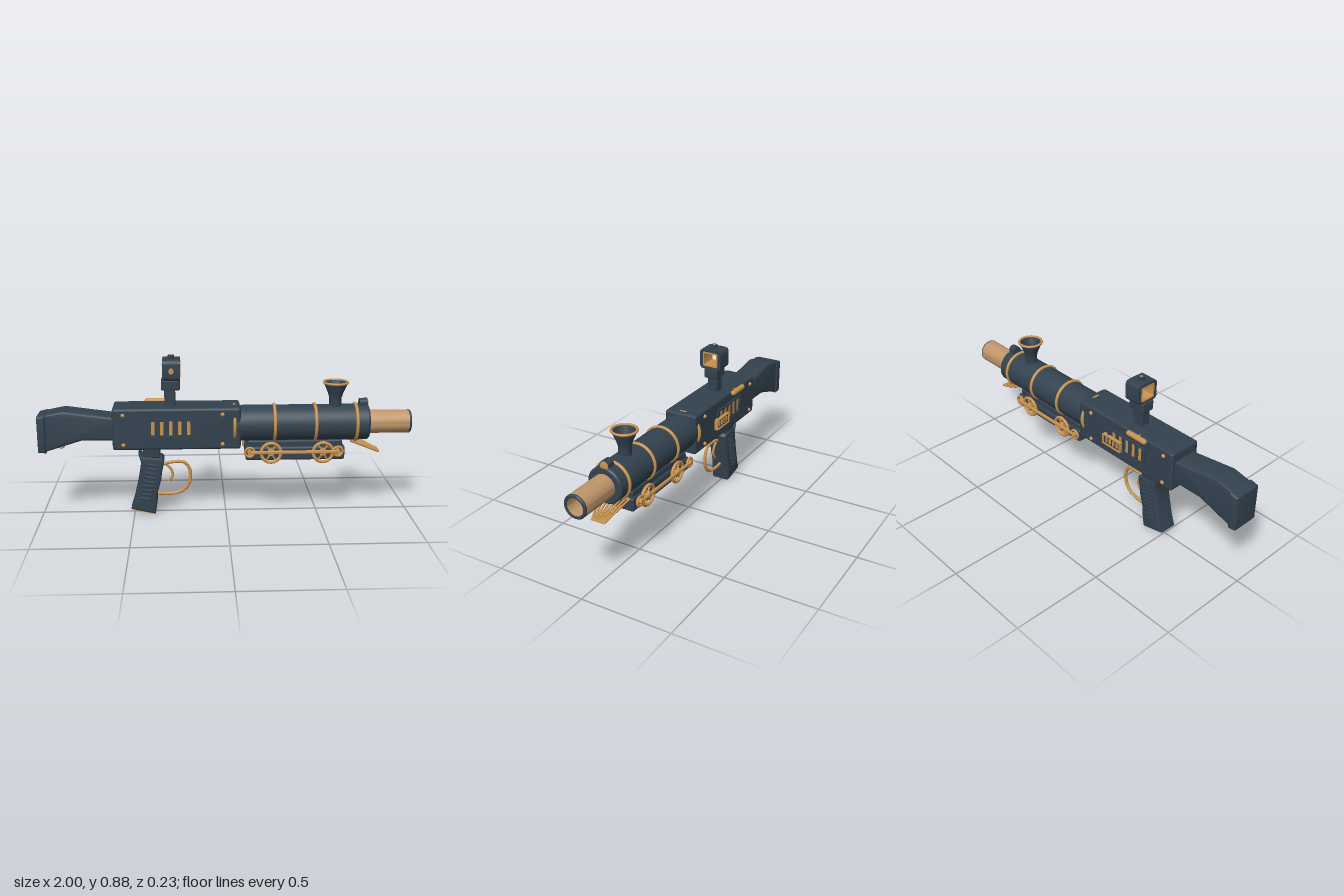
import * as THREE from 'three';
import { toCreasedNormals } from 'three/addons/utils/BufferGeometryUtils.js';
import { RoundedBoxGeometry } from 'three/addons/geometries/RoundedBoxGeometry.js';

export function createModel() {
  const mat = (name, color) => {
    const m = new THREE.MeshStandardMaterial({ color });
    m.name = name;
    return m;
  };
  const steel = mat('blueSteel', 0x33424f);
  const brass = mat('brass', 0xc8924f);
  const copper = mat('barrelCopper', 0xc0966a);

  const root = new THREE.Group();
  root.name = 'steamRifle';
  const gun = new THREE.Group();
  gun.name = 'gun';
  gun.position.z = 0.006;
  root.add(gun);

  const add = (name, geo, m, x = 0, y = 0, z = 0, rz = 0) => {
    const mesh = new THREE.Mesh(geo, m);
    mesh.name = name;
    mesh.position.set(x, y, z);
    mesh.rotation.z = rz;
    gun.add(mesh);
    return mesh;
  };
  const box = (w, h, d) => new THREE.BoxGeometry(w, h, d);
  const round = (w, h, d, r) => new RoundedBoxGeometry(w, h, d, 2, r);
  const v2 = (pts) => pts.map(([a, b]) => new THREE.Vector2(a, b));
  const lathe = (pts, seg = 40) => toCreasedNormals(new THREE.LatheGeometry(v2(pts), seg), 0.6);
  const latheX = (pts, seg) => lathe(pts, seg).rotateZ(-Math.PI / 2);
  const cylZ = (r, h, seg = 20) => new THREE.CylinderGeometry(r, r, h, seg).rotateX(Math.PI / 2);
  const ringX = (R, r) => new THREE.TorusGeometry(R, r, 10, 40).rotateY(Math.PI / 2);
  const tube = (pts, r, seg = 40) => new THREE.TubeGeometry(
    new THREE.CatmullRomCurve3(pts.map((p) => new THREE.Vector3(p[0], p[1], p[2] || 0))), seg, r, 8);
  // side outline extruded across z with rounded edges, half = half width
  const slab = (pts, half, bevel = 0.012) => {
    const g = new THREE.ExtrudeGeometry(new THREE.Shape(v2(pts)), {
      depth: 2 * (half - bevel), bevelThickness: bevel, bevelSize: bevel, bevelOffset: -bevel, bevelSegments: 3,
    });
    return toCreasedNormals(g.translate(0, 0, bevel - half), 0.6);
  };
  const roundRect = (S, w, h, r) => {
    const s = new S(), a = w / 2, b = h / 2;
    s.moveTo(-a + r, -b).lineTo(a - r, -b).quadraticCurveTo(a, -b, a, -b + r);
    s.lineTo(a, b - r).quadraticCurveTo(a, b, a - r, b);
    s.lineTo(-a + r, b).quadraticCurveTo(-a, b, -a, b - r);
    s.lineTo(-a, -b + r).quadraticCurveTo(-a, -b, -a + r, -b);
    return s;
  };
  // rectangular frame open along x
  const frameX = (w, h, r, wall, len) => {
    const s = roundRect(THREE.Shape, w, h, r);
    s.holes.push(roundRect(THREE.Path, w - 2 * wall, h - 2 * wall, Math.max(r - wall, 0.006)));
    const g = new THREE.ExtrudeGeometry(s, { depth: len, bevelEnabled: false, curveSegments: 5 });
    return toCreasedNormals(g.translate(0, 0, -len / 2).rotateY(Math.PI / 2), 0.6);
  };

  // Stock with butt pad and sling ring
  add('stock', slab([[-0.58, 0.433], [-0.58, 0.56], [-0.61, 0.56], [-0.86, 0.595], [-0.97, 0.573],
    [-0.97, 0.373], [-0.94, 0.38], [-0.77, 0.433]], 0.07), steel);
  add('buttPad', slab([[-1, 0.372], [-0.957, 0.368], [-0.953, 0.577], [-1, 0.566]], 0.08), steel);
  add('slingRing', new THREE.TorusGeometry(0.017, 0.005, 8, 20), brass, -0.888, 0.393);

  // Receiver
  add('receiver', round(0.68, 0.226, 0.187, 0.014), steel, -0.263, 0.498);
  for (const s of [-1, 1]) {
    for (const x of [-0.545, -0.02]) for (const y of [0.415, 0.577])
      add('rivet', new THREE.SphereGeometry(0.011, 14, 8), brass, x, y, s * 0.094);
    for (const [y, h] of [[0.552, 0.01], [0.458, 0.01]])
      add('ventFrameRail', box(0.27, h, 0.014), steel, -0.29, y, s * 0.096);
    for (const x of [-0.42, -0.16]) add('ventFrameEnd', box(0.01, 0.1, 0.014), steel, x, 0.505, s * 0.096);
    add('ventPanel', box(0.262, 0.094, 0.008), steel, -0.29, 0.505, s * 0.094);
    for (let i = 0; i < 5; i++)
      add('ventSlat', box(0.018, 0.074, 0.008), brass, -0.388 + i * 0.047, 0.506, s * 0.096);
  }
  // Bolt handle and counter on the right side
  add('boltHandle', new THREE.CapsuleGeometry(0.015, 0.105, 4, 12).rotateZ(Math.PI / 2), brass, -0.37, 0.606, -0.108);
  add('boltStem', cylZ(0.008, 0.03), brass, -0.37, 0.603, -0.092);
  add('counterPlate', box(0.125, 0.055, 0.016), steel, -0.195, 0.483, -0.102);
  for (const s of [-1, 1]) {
    add('counterRail', box(0.13, 0.006, 0.022), brass, -0.195, 0.483 + s * 0.027, -0.106);
    add('counterEnd', box(0.006, 0.055, 0.022), brass, -0.195 + s * 0.062, 0.483, -0.106);
  }
  for (let i = 0; i < 4; i++) add('counterMark', box(0.012, 0.028, 0.006), brass, -0.234 + i * 0.026, 0.483, -0.111);

  // Grip with ridges and base plate
  add('gripNeck', round(0.09, 0.08, 0.1, 0.01), steel, -0.4, 0.365);
  add('grip', slab([[-0.472, 0.352], [-0.45, 0.335], [-0.345, 0.325], [-0.333, 0.31], [-0.345, 0.25], [-0.352, 0.2],
    [-0.372, 0.13], [-0.375, 0.07], [-0.385, 0.006], [-0.518, 0.036], [-0.5, 0.09], [-0.475, 0.2], [-0.458, 0.3]], 0.055), steel);
  add('gripBase', box(0.112, 0.008, 0.085), brass, -0.452, 0.02, 0, -0.22);
  for (const s of [-1, 1]) for (let i = 0; i < 9; i++)
    add('gripRidge', round(0.058, 0.011, 0.012, 0.004), steel, -0.395 - i * 0.0055, 0.29 - i * 0.024, s * 0.055, -0.2);

  // Trigger and guard
  add('triggerGuard', tube([[-0.345, 0.275], [-0.3, 0.288], [-0.225, 0.285], [-0.197, 0.245], [-0.2, 0.17],
    [-0.24, 0.122], [-0.31, 0.106], [-0.385, 0.11]], 0.009, 60), brass);
  add('trigger', tube([[-0.33, 0.28], [-0.3, 0.25], [-0.29, 0.215], [-0.31, 0.178]], 0.007), brass);

  // Boiler, hoops and hollow muzzle
  add('boiler', latheX([[0, 0.05], [0.097, 0.05], [0.097, 0.762], [0.09, 0.77], [0, 0.77]], 48), steel, 0, 0.505);
  for (const [x, R] of [[0.045, 0.1], [0.26, 0.098], [0.48, 0.098], [0.7, 0.098]])
    add('boilerHoop', ringX(R, 0.009), brass, x, 0.505);
  add('muzzle', latheX([[0.063, 0.76], [0.063, 0.988]]), copper, 0, 0.505);
  add('muzzleRim', latheX([[0.063, 0.988], [0.063, 0.994], [0.058, 1], [0.049, 1], [0.047, 0.994]]), steel, 0, 0.505);
  add('muzzleBore', latheX([[0.047, 0.994], [0.047, 0.8]]), copper, 0, 0.505);
  add('borePlug', latheX([[0.047, 0.8], [0, 0.8]]), steel, 0, 0.505);

  // Funnel chimney
  add('chimney', lathe([[0.033, 0.59], [0.033, 0.64], [0.042, 0.67], [0.064, 0.72], [0.066, 0.728],
    [0.058, 0.728], [0.036, 0.67], [0.026, 0.64], [0, 0.64]]), steel, 0.59);
  add('chimneyRim', new THREE.TorusGeometry(0.063, 0.007, 8, 40).rotateX(Math.PI / 2), brass, 0.59, 0.724);

  // Headlamp
  add('lampBody', latheX([[0, 0.72], [0.026, 0.72], [0.026, 0.762], [0, 0.762]], 24), steel, 0, 0.61);
  add('lampFace', latheX([[0.024, 0.76], [0.022, 0.766], [0, 0.77]], 24), brass, 0, 0.608);

  // Undercarriage, wheels and coupling rods
  add('undercarriage', round(0.535, 0.075, 0.142, 0.012), steel, 0.372, 0.35);
  add('frameDeck', round(0.51, 0.05, 0.12, 0.008), steel, 0.37, 0.395);
  for (const s of [-1, 1]) {
    for (const x of [0.24, 0.52]) {
      add('wheelRim', new THREE.TorusGeometry(0.053, 0.009, 10, 32), brass, x, 0.358, s * 0.08);
      add('wheelHub', cylZ(0.018, 0.03), brass, x, 0.362, s * 0.08);
      for (let i = 0; i < 3; i++)
        add('wheelSpokes', box(0.1, 0.007, 0.008), brass, x, 0.358, s * 0.077, i * Math.PI / 3);
    }
    for (const x of [0.125, 0.6]) {
      add('rodEndRing', new THREE.TorusGeometry(0.025, 0.007, 8, 24), brass, x, 0.364, s * 0.086);
      add('rodEndPin', cylZ(0.013, 0.03), brass, x, 0.364, s * 0.086);
    }
    add('couplingRod', round(0.475, 0.018, 0.014, 0.005), brass, 0.362, 0.364, s * 0.092);
  }

  // Cowcatcher: bars fanning from a curved root to a narrow toe
  const fan = (t) => [[0.68, 0.405 + 0.01 * t * t, 0.08 * t], [0.83, 0.345, 0.036 * t]];
  for (let i = 0; i < 8; i++) {
    const [a, b] = fan(-1 + i * 2 / 7);
    add('cowcatcherBar', tube([a, b], 0.0055, 2), brass);
  }
  add('cowcatcherRoot', tube([-1, -0.5, 0, 0.5, 1].map((t) => fan(t)[0]), 0.007, 16), brass);
  add('cowcatcherToe', tube([fan(-1.1)[1], fan(1.1)[1]], 0.006, 2), brass);

  // Sight
  add('sightPost', round(0.058, 0.1, 0.06, 0.008), steel, -0.298, 0.65);
  add('sightClamp', round(0.1, 0.06, 0.08, 0.01), steel, -0.293, 0.724);
  add('sightHousing', frameX(0.128, 0.112, 0.024, 0.02, 0.092), steel, -0.288, 0.806);
  add('sightLiner', frameX(0.09, 0.082, 0.01, 0.008, 0.096), brass, -0.288, 0.806);
  add('sightDial', cylZ(0.014, 0.02), brass, -0.288, 0.806, 0.07);
  add('sightTopKnob', new THREE.CylinderGeometry(0.017, 0.017, 0.022, 16), steel, -0.288, 0.869);
  add('sightTopPin', new THREE.CylinderGeometry(0.008, 0.008, 0.024, 12), brass, -0.288, 0.87);

  return root;
}
